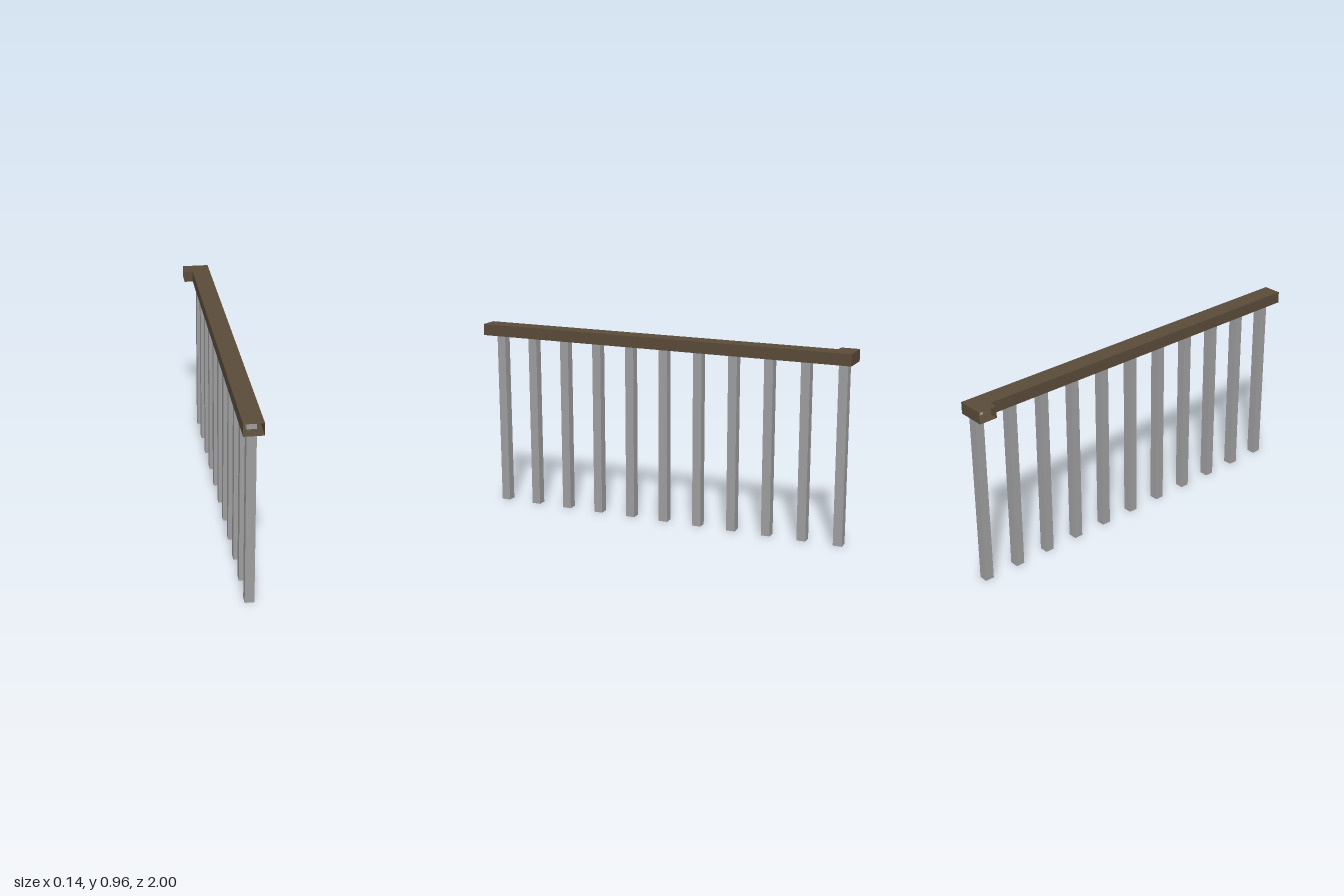
import * as THREE from 'three';

export function createModel() {
  const model = new THREE.Group();
  const wood = new THREE.MeshStandardMaterial({ color: 0x5a4b39, side: THREE.DoubleSide });
  wood.name = 'dark brown wood';
  const metal = new THREE.MeshStandardMaterial({ color: 0x9e9e9e, side: THREE.DoubleSide });
  metal.name = 'grey metal';

  // Handrail: a hollow box section swept round a mitred corner, open at both ends
  const bottom = 0.903, top = 0.962;
  const stations = [ // outer x, outer z, inner x, inner z
    [0.07, 1, -0.025, 1],
    [0.07, -1, -0.025, -0.907],
    [-0.07, -1, -0.07, -0.907],
  ];
  const rings = stations.map(([ox, oz, ix, iz]) => [
    [ox, bottom, oz], [ox, top, oz], [ix, top, iz], [ix, bottom, iz],
  ]);
  const points = [];
  for (let i = 0; i < rings.length - 1; i++) {
    for (let j = 0; j < 4; j++) {
      const k = (j + 1) % 4;
      const a = rings[i][j], b = rings[i][k], c = rings[i + 1][k], d = rings[i + 1][j];
      points.push(...a, ...c, ...b, ...a, ...d, ...c);
    }
  }
  const railGeometry = new THREE.BufferGeometry();
  railGeometry.setAttribute('position', new THREE.Float32BufferAttribute(points, 3));
  railGeometry.computeVertexNormals();
  const rail = new THREE.Mesh(railGeometry, wood);
  rail.name = 'handrail';
  model.add(rail);

  // Balusters: square tubes, open underneath, reaching into the rail
  const height = 0.931, width = 0.046;
  const tube = new THREE.BoxGeometry(width, height, width);
  const index = Array.from(tube.index.array);
  index.splice(18, 6); // remove the bottom face
  tube.setIndex(index);
  tube.clearGroups();
  const balusters = new THREE.Group();
  balusters.name = 'balusters';
  for (let i = 0; i < 11; i++) {
    const post = new THREE.Mesh(tube, metal);
    post.name = `baluster${i + 1}`;
    post.position.set(0.023, height / 2, 0.91 - i * 0.1865);
    balusters.add(post);
  }
  model.add(balusters);
  return model;
}
